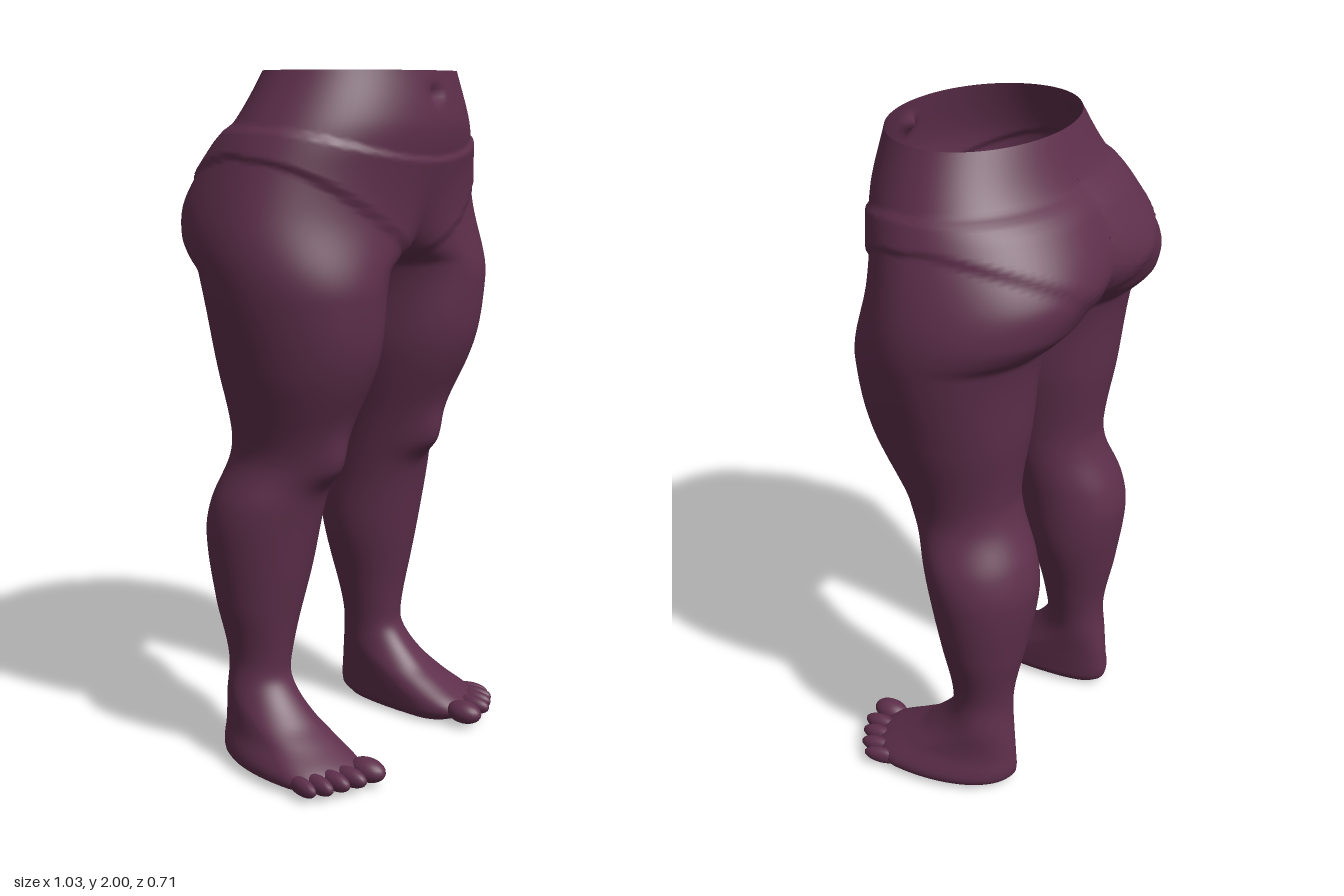
import * as THREE from 'three';
import { mergeGeometries, mergeVertices } from 'three/addons/utils/BufferGeometryUtils.js';

const { lerp, smoothstep } = THREE.MathUtils;
const COLS = 80, ROWS = 200;

// Smooth curve through a few [height, value] points
function profile(points) {
  const last = points.length - 1;
  const slope = (k) => {
    const a = points[Math.max(0, k - 1)], b = points[Math.min(last, k + 1)];
    return (b[1] - a[1]) / (b[0] - a[0]);
  };
  return (y) => {
    let i = 0;
    while (i < last - 1 && points[i + 1][0] < y) i++;
    const [y0, p] = points[i], [y1, q] = points[i + 1];
    const h = y1 - y0, t = (y - y0) / h, t2 = t * t, t3 = t2 * t;
    return (2 * t3 - 3 * t2 + 1) * p + (t3 - 2 * t2 + t) * h * slope(i)
      + (3 * t2 - 2 * t3) * q + (t3 - t2) * h * slope(i + 1);
  };
}

// Silhouettes of one leg and half the hips.
// An inner edge below zero is cut at the middle plane, where the halves join.
const outerX = profile([[0, 0.41], [0.02, 0.445], [0.05, 0.45], [0.11, 0.415], [0.2, 0.388],
  [0.32, 0.37], [0.5, 0.41], [0.7, 0.44], [0.8, 0.435], [0.92, 0.396], [1, 0.402], [1.2, 0.46],
  [1.46, 0.512], [1.6, 0.503], [1.8, 0.43], [2, 0.32]]);
const innerX = profile([[0, 0.225], [0.03, 0.2], [0.25, 0.2], [0.4, 0.17], [0.6, 0.115],
  [0.8, 0.1], [1, 0.08], [1.2, 0.045], [1.46, 0.012], [1.5, -0.07], [1.6, -0.24],
  [1.72, -0.36], [1.87, -0.37], [2, -0.32]]);
const frontZ = profile([[0, 0.22], [0.02, 0.265], [0.05, 0.275], [0.11, 0.175], [0.15, 0.11],
  [0.25, 0.016], [0.32, 0.008], [0.6, 0.06], [0.8, 0.1], [0.92, 0.135], [1.2, 0.27],
  [1.4, 0.3], [1.6, 0.292], [1.8, 0.333], [1.87, 0.337], [2, 0.315]]);
const backZ = profile([[0, -0.16], [0.03, -0.198], [0.11, -0.198], [0.3, -0.18], [0.5, -0.215],
  [0.7, -0.245], [0.8, -0.23], [0.92, -0.182], [1, -0.17], [1.2, -0.2], [1.46, -0.235],
  [1.5, -0.28], [1.55, -0.322], [1.65, -0.346], [1.8, -0.28], [1.87, -0.22], [2, -0.165]]);
// Depth at which each section is widest
const widestZ = profile([[0, 0.13], [0.05, 0.13], [0.11, 0.05], [0.2, -0.07], [0.3, -0.09],
  [0.7, -0.08], [1, 0], [1.2, 0.02], [1.6, 0], [2, 0.06]]);
// The leg's axis, from which the front and back crests move to the middle
const axisX = (y) => lerp(0.28, 0.24, smoothstep(y, 0.3, 1));

const bump = (u, v) => Math.exp(-u * u - v * v);

// How far the briefs stand out from the skin
function briefs(x, y, front) {
  const leg = Math.min(1.77, front ? 1.46 + 0.68 * x : 1.52 + 0.57 * x);
  const waist = front ? 1.77 + 0.08 * Math.min(1, (x / 0.4) ** 2) : 1.855;
  return 0.01 * smoothstep(y, leg, leg + 0.014) * (1 - smoothstep(y, waist - 0.012, waist));
}

function ringAt(y) {
  const xo = outerX(y), xi = innerX(y), zf = frontZ(y), zb = backZ(y), zc = widestZ(y);
  const frontCrest = axisX(y) * (1 - smoothstep(y, 1.4, 1.76));
  const backCrest = axisX(y) * (1 - smoothstep(y, 1.45, 2));
  const ring = [];
  for (let j = 0; j < COLS; j++) {
    const a = (j / COLS) * Math.PI * 2, c = Math.cos(a), s = Math.sin(a);
    const front = s >= 0, crest = front ? frontCrest : backCrest;
    let x = crest + (c > 0 ? xo - crest : crest - xi) * c;
    let z = zc + (front ? zf - zc : zc - zb) * s;
    const lift = briefs(Math.max(0, x), y, front);
    x += lift * c;
    z += lift * s;
    if (front) {
      z += 0.045 * bump((x - 0.24) / 0.075, (y - 0.91) / (y > 0.91 ? 0.09 : 0.055)); // kneecap
      z -= 0.025 * bump(x / 0.018, (y - 1.935) / 0.022); // navel
    }
    ring.push([x, z]);
  }
  // Cut at the middle plane, sliding the first hidden point onto the cut
  return ring.map(([x, z], j) => {
    if (x > 0) return [x, z];
    for (const k of [(j + 1) % COLS, (j + COLS - 1) % COLS]) {
      const [nx, nz] = ring[k];
      if (nx > 0) return [0, z + (nz - z) * (-x / (nx - x))];
    }
    return [0, z];
  });
}

function halfBody(side) {
  const pos = [], index = [];
  for (let i = 0; i <= ROWS; i++) {
    const y = (i / ROWS) * 2;
    for (const [x, z] of ringAt(y)) pos.push(x * side, y, z);
  }
  const face = (a, b, c) => {
    if ([a, b, c].every((k) => Math.abs(pos[k * 3]) < 1e-4)) return;
    if (side > 0) index.push(a, b, c);
    else index.push(a, c, b);
  };
  for (let i = 0; i < ROWS; i++) {
    for (let j = 0; j < COLS; j++) {
      const a = i * COLS + j, b = i * COLS + (j + 1) % COLS;
      face(a, a + COLS, b);
      face(b, a + COLS, b + COLS);
    }
  }
  // Sole
  const centre = pos.length / 3;
  pos.push(0.3 * side, 0.004, 0.05);
  for (let j = 0; j < COLS; j++) face(centre, j, (j + 1) % COLS);
  const g = new THREE.BufferGeometry();
  g.setAttribute('position', new THREE.Float32BufferAttribute(pos, 3));
  g.setIndex(index);
  return g;
}

export function createModel() {
  const model = new THREE.Group();
  model.name = 'lowerBody';
  const plum = new THREE.MeshStandardMaterial({ color: 0x5e2f4b, side: THREE.DoubleSide });
  plum.name = 'plum';

  // Hollow hips and legs, open at the waist
  const body = mergeVertices(mergeGeometries([halfBody(1), halfBody(-1)]), 1e-4);
  body.computeVertexNormals();
  const hips = new THREE.Mesh(body, plum);
  hips.name = 'hipsAndLegs';
  model.add(hips);

  // Toes: [x, z of tip, half width, y of centre]
  const TOES = [
    [0.255, 0.348, 0.038, 0.046],
    [0.322, 0.336, 0.025, 0.046],
    [0.366, 0.313, 0.024, 0.044],
    [0.406, 0.288, 0.023, 0.04],
    [0.437, 0.254, 0.021, 0.036],
  ];
  const ball = new THREE.SphereGeometry(1, 20, 14);
  for (const side of [1, -1]) {
    const toes = new THREE.Group();
    toes.name = side > 0 ? 'leftToes' : 'rightToes';
    TOES.forEach(([x, tip, r, y], i) => {
      const toe = new THREE.Mesh(ball, plum);
      toe.name = 'toe' + (i + 1);
      toe.scale.set(r, r * 0.5 + 0.016, 0.06);
      toe.position.set(x * side, y, tip - 0.06);
      toe.rotation.y = side * 0.06 * i;
      toes.add(toe);
    });
    model.add(toes);
  }
  return model;
}
